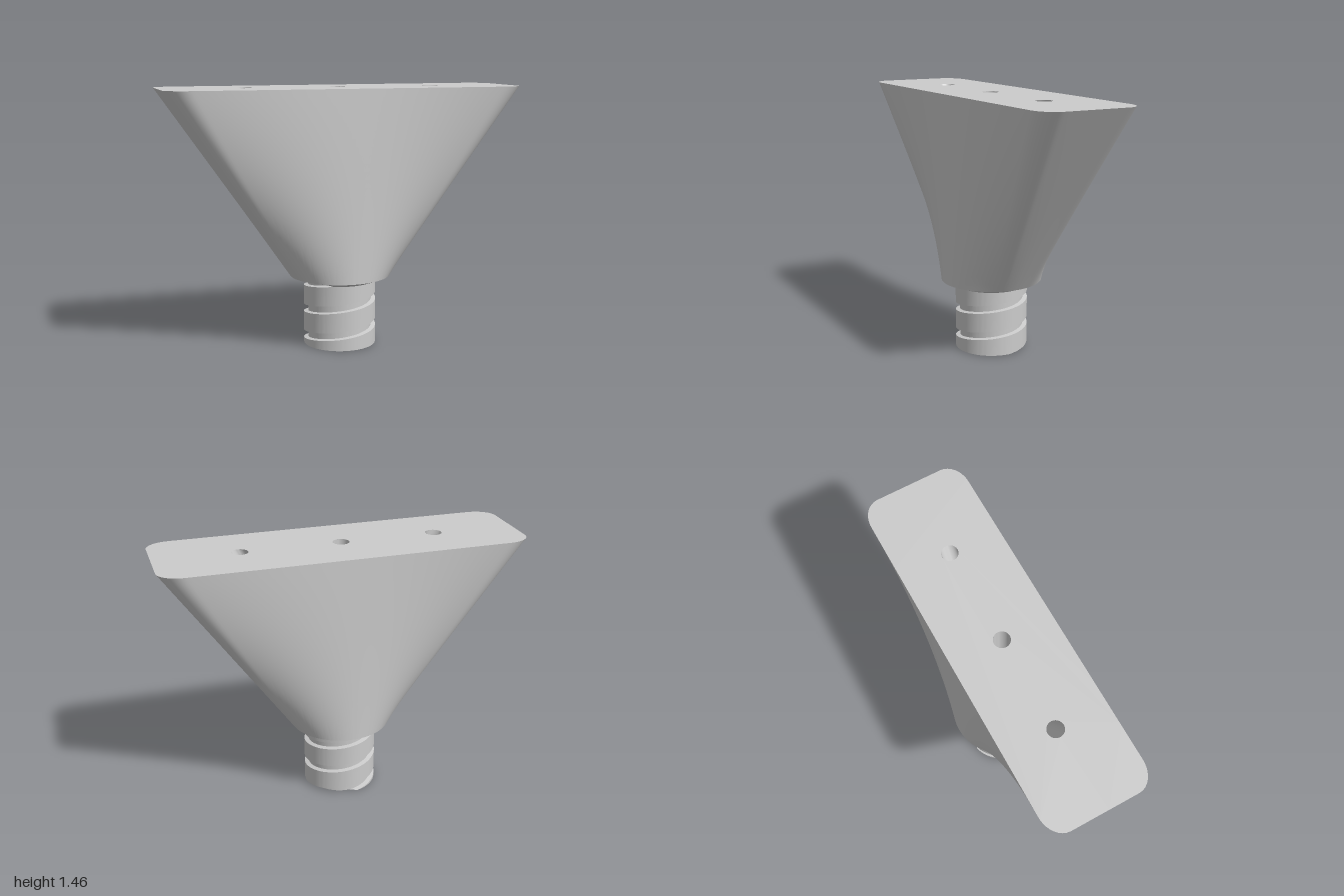
import * as THREE from 'three';
import { toCreasedNormals } from 'three/addons/utils/BufferGeometryUtils.js';

const TAU = Math.PI * 2;
const TOP = 1.46, NECK = 0.4, R = 0.285, SHANK = 0.37;
const HOLES = [-0.54, -0.01, 0.54], HOLE_R = 0.045;
const { clamp, lerp } = THREE.MathUtils;

// Surface through a grid of points: rows run upward, columns run around y.
function sheet(rows, cols, point) {
  const pos = [], index = [], w = cols + 1;
  for (let i = 0; i <= rows; i++)
    for (let j = 0; j <= cols; j++) pos.push(...point(i, j / cols));
  const at = (a) => new THREE.Vector3().fromArray(pos, a * 3);
  const tri = (a, b, c) => {
    if (new THREE.Triangle(at(a), at(b), at(c)).getArea() > 1e-9) index.push(a, b, c);
  };
  for (let i = 0; i < rows; i++)
    for (let j = 0; j < cols; j++) {
      const a = i * w + j, b = a + w;
      tri(a, b, a + 1);
      tri(b, b + 1, a + 1);
    }
  const g = new THREE.BufferGeometry();
  g.setAttribute('position', new THREE.Float32BufferAttribute(pos, 3));
  g.setIndex(index);
  return toCreasedNormals(g, 0.5);
}

// Rounded rectangle of the wide end, starting at its +x side and turning to +z.
function topOutline() {
  const X = 1, Z = R, cx = 0.13, cz = 0.1;
  const s = new THREE.Shape();
  s.moveTo(X, 0);
  s.lineTo(X, Z - cz);
  s.absellipse(X - cx, Z - cz, cx, cz, 0, Math.PI / 2);
  s.lineTo(-X + cx, Z);
  s.absellipse(-X + cx, Z - cz, cx, cz, Math.PI / 2, Math.PI);
  s.lineTo(-X, -Z + cz);
  s.absellipse(-X + cx, -Z + cz, cx, cz, Math.PI, Math.PI * 1.5);
  s.lineTo(X - cx, -Z);
  s.absellipse(X - cx, -Z + cz, cx, cz, Math.PI * 1.5, TAU);
  s.lineTo(X, 0);
  return s;
}

// Hollow threaded shank: bore, end ring, helical groove and collar cone in one skin.
function shankGeometry() {
  const pitch = 0.155, root = 0.18, crest = 0.205, bore = 0.125;
  const knots = [];
  for (let k = -3; k <= 3; k++)
    for (const d of [-0.022, -0.018, 0.018, 0.022]) knots.push(k * pitch + d);
  const n = knots.length;
  return sheet(n + 3, 128, (i, t) => {
    const a = t * TAU, centre = 0.21 + pitch * (0.5 - t);
    let r, y;
    if (i < 3) [r, y] = [[0, 0.5], [bore, 0.5], [bore, 0]][i];
    else if (i === n + 3) [r, y] = [R, NECK];
    else {
      y = clamp(centre + knots[i - 3], 0, SHANK);
      const d = (y - centre) / pitch;
      const off = Math.abs(d - Math.round(d)) * pitch;
      r = lerp(root, crest, clamp((off - 0.018) / 0.004, 0, 1));
    }
    return [r * Math.cos(a), y, r * Math.sin(a)];
  });
}

export function createModel() {
  const group = new THREE.Group();
  const material = new THREE.MeshStandardMaterial({ color: 0xcccccc });
  const inside = new THREE.MeshStandardMaterial({ color: 0xcccccc, side: THREE.DoubleSide });
  const add = (name, geometry, mat = material) => {
    const mesh = new THREE.Mesh(geometry, mat);
    mesh.name = name;
    group.add(mesh);
  };

  // Flared body: circle at the neck blended into the rounded rectangle
  const cols = 240, outline = topOutline();
  outline.arcLengthDivisions = 400;
  const rim = outline.getSpacedPoints(cols);
  add('flaredBody', sheet(24, cols, (i, t) => {
    const v = i / 24, a = t * TAU, p = rim[Math.round(t * cols)];
    return [lerp(R * Math.cos(a), p.x, v), lerp(NECK, TOP, v), lerp(R * Math.sin(a), p.y, v)];
  }));

  // Flat top pierced by three holes
  const plate = new THREE.Shape(rim.slice(0, -1));
  for (const x of HOLES)
    plate.holes.push(new THREE.Path().absarc(x, 0, HOLE_R, 0, TAU, true));
  add('topFace', new THREE.ShapeGeometry(plate, 24).rotateX(-Math.PI / 2).translate(0, TOP, 0));

  // Channels slanting from the holes toward the bore, closed at the lower end
  HOLES.forEach((x) => add('channel', sheet(2, 32, (i, t) => {
    const a = t * TAU, r = i ? HOLE_R : 0;
    const cx = i === 2 ? x : x * 0.1;
    return [cx + r * Math.cos(a), i === 2 ? TOP : 0.52, r * Math.sin(a)];
  }), inside));

  add('threadedShank', shankGeometry());
  return group;
}
